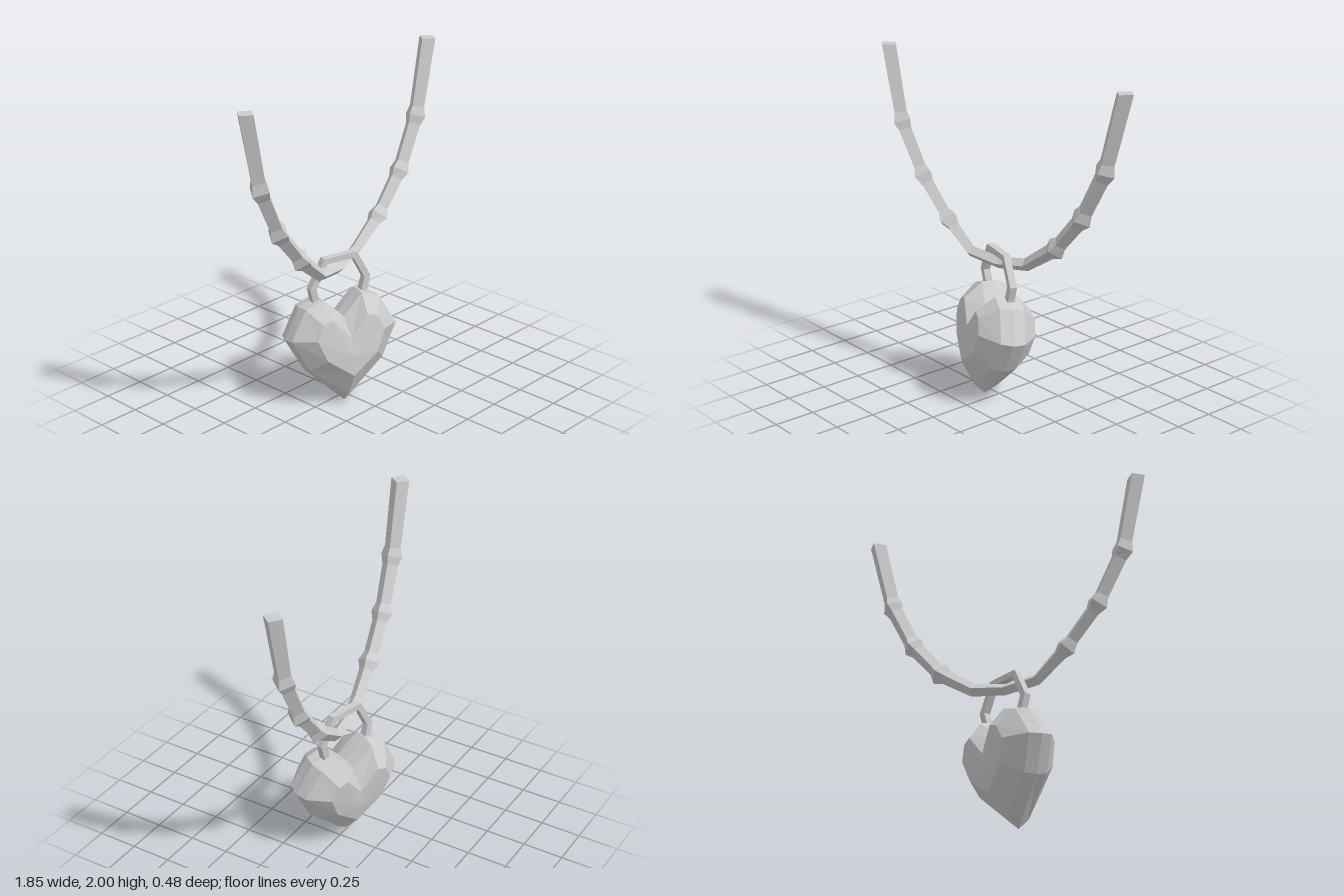
import * as THREE from 'three';

const material = () => new THREE.MeshStandardMaterial({ color: 0xcccccc, flatShading: true });
const V = (x, y, z) => new THREE.Vector3(x, y, z);

// Skin a list of equal-sized rings (counter-clockwise about the direction of travel)
function loft(rings, name) {
  const pos = [];
  const tri = (...pts) => pts.forEach((p) => pos.push(p.x, p.y, p.z));
  for (let i = 0; i < rings.length - 1; i++) {
    const n = rings[i].length;
    for (let j = 0; j < n; j++) {
      const k = (j + 1) % n;
      const a = rings[i][j], b = rings[i][k], c = rings[i + 1][k], d = rings[i + 1][j];
      tri(a, b, c);
      tri(a, c, d);
    }
  }
  const geo = new THREE.BufferGeometry();
  geo.setAttribute('position', new THREE.Float32BufferAttribute(pos, 3));
  geo.computeVertexNormals();
  const mesh = new THREE.Mesh(geo, material());
  mesh.name = name;
  return mesh;
}

// Four-sided bar along stations {p, r}; turn rotates the square section
function bar(stations, planeNormal, turn, name, levelEnds) {
  const last = stations.length - 1;
  const rings = stations.map(({ p, r }, i) => {
    const prev = stations[Math.max(i - 1, 0)].p, next = stations[Math.min(i + 1, last)].p;
    const t = i > 0 && i < last
      ? p.clone().sub(prev).normalize().add(next.clone().sub(p).normalize()).normalize()
      : next.clone().sub(prev).normalize();
    if (levelEnds && (i === 0 || i === last)) t.set(0, i === 0 ? -1 : 1, 0);
    const n = planeNormal.clone().cross(t).normalize();
    const b = t.clone().cross(n);
    return [0, 1, 2, 3].map((k) => {
      const a = turn + (k * Math.PI) / 2;
      return p.clone().addScaledVector(n, r * Math.cos(a)).addScaledVector(b, r * Math.sin(a));
    });
  });
  const cap = (p) => Array(4).fill(p);
  return loft([cap(stations[0].p), ...rings, cap(stations[last].p)], name);
}

// Hanging cord with a pointed knuckle at each bead station
function makeCord() {
  const path = [
    [-0.872, 2, 0.12, 0.056], [-0.77, 1.545, 0.11, 0.05, true], [-0.61, 1.24, 0.08, 0.047, true],
    [-0.41, 1.01, 0.05, 0.044, true], [-0.225, 0.852, 0.025, 0.038], [-0.03, 0.825, -0.02, 0.036],
    [0.16, 0.852, -0.07, 0.038], [0.39, 1.01, -0.09, 0.044, true], [0.59, 1.24, -0.1, 0.047, true],
    [0.75, 1.545, -0.115, 0.05, true], [0.868, 2, -0.135, 0.056],
  ];
  const at = (i) => V(path[i][0], path[i][1], path[i][2]);
  const stations = [];
  path.forEach(([, , , r, bead], i) => {
    const p = at(i);
    if (!bead) return stations.push({ p, r });
    const toward = (k) => p.clone().add(at(k).sub(p).setLength(0.055));
    stations.push({ p: toward(i - 1), r }, { p, r: 0.068 }, { p: toward(i + 1), r });
  });
  return bar(stations, V(0.14, 0, 1).normalize(), 0, 'cord', true);
}

// Wire bail that hooks over the cord and ends inside the heart's lobes
function makeBail() {
  const stations = [
    [-0.17, 0.6, -0.07], [-0.185, 0.66, -0.065], [-0.205, 0.73, -0.065], [-0.125, 0.89, -0.042],
    [0.07, 0.89, 0.008], [0.152, 0.735, 0.03], [0.13, 0.66, 0.028], [0.12, 0.6, 0.03],
  ].map((c) => ({ p: V(...c), r: 0.03 }));
  return bar(stations, V(-0.26, 0, 0.97).normalize(), Math.PI / 4, 'bail');
}

// Faceted heart: mid outline, bevel outline and raised inner outline on both sides
function makeHeart() {
  // Right half of an outline from tip to notch, mirrored to a full ring
  const ring = (half, depth) => {
    const left = half.slice(1, -1).reverse().map(([x, y]) => [-x, y]);
    return [...half, ...left].map(([x, y]) => V(x, y, depth));
  };
  const mid = [[0, -0.34], [0.245, -0.1], [0.35, 0.1], [0.25, 0.285], [0.13, 0.33], [0, 0.21]];
  const bevel = [[0, -0.285], [0.235, -0.09], [0.335, 0.105], [0.235, 0.28], [0.125, 0.32], [0, 0.2]];
  const inner = [[0, -0.14], [0.16, -0.02], [0.215, 0.11], [0.17, 0.2], [0.11, 0.22], [0, 0.09]];
  const centre = inner.map(() => [0, -0.02]);
  const heart = loft([
    ring(centre, -0.185), ring(inner, -0.175), ring(bevel, -0.075), ring(mid, 0),
    ring(bevel, 0.075), ring(inner, 0.175), ring(centre, 0.185),
  ], 'heart');
  heart.rotation.set(-0.15, -0.38, 0, 'YXZ');
  heart.position.set(-0.045, 0.337, 0.012);
  return heart;
}

export function createModel() {
  const model = new THREE.Group();
  model.name = 'heartNecklace';
  model.add(makeCord(), makeBail(), makeHeart());
  return model;
}
